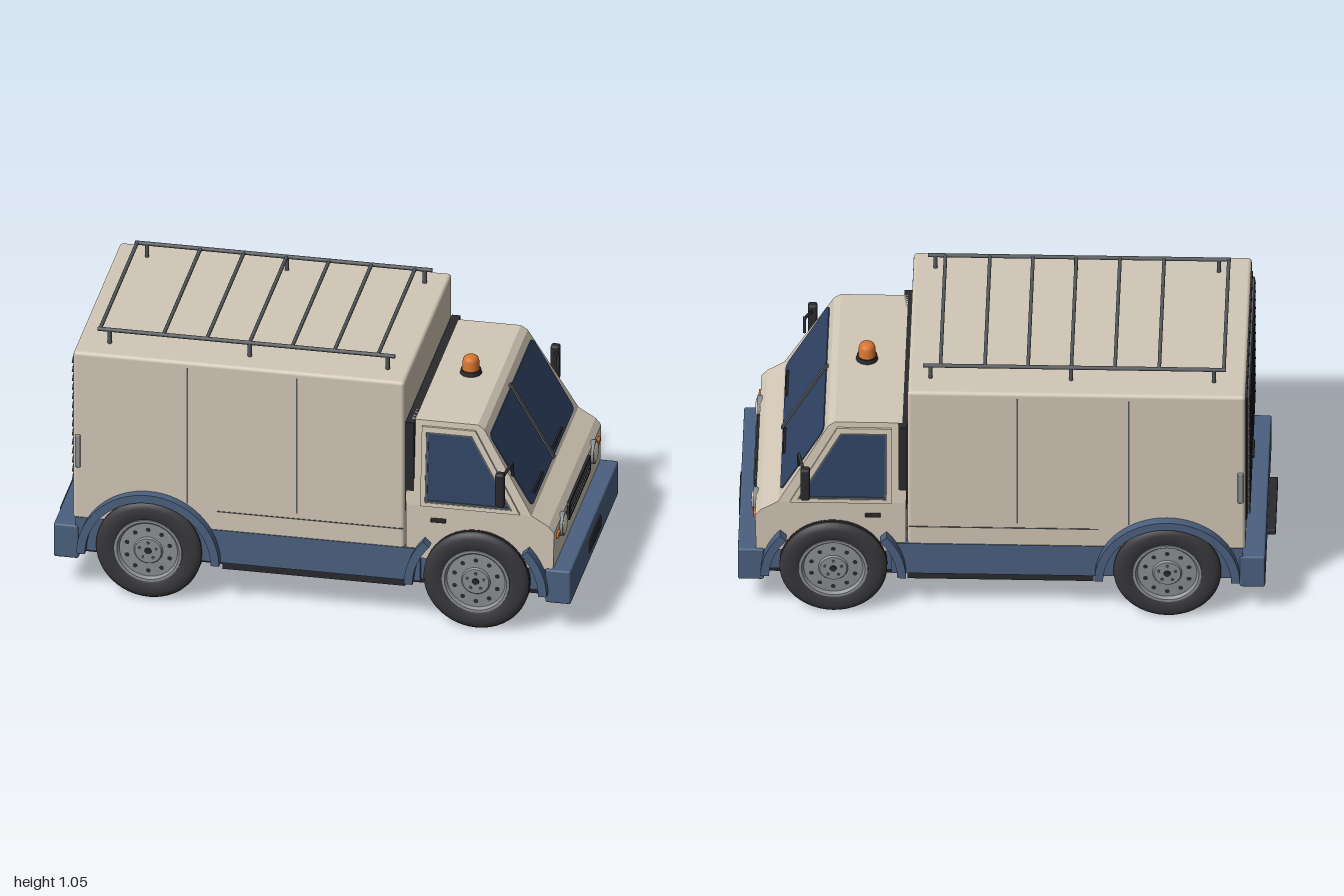
import * as THREE from 'three';
import { toCreasedNormals } from 'three/addons/utils/BufferGeometryUtils.js';
import { RoundedBoxGeometry } from 'three/addons/geometries/RoundedBoxGeometry.js';

const mat = (name, color) => Object.assign(new THREE.MeshStandardMaterial({ color }), { name });

export function createModel() {
  const beige = mat('beige paint', 0xd3c8b7), blue = mat('blue paint', 0x4b6180);
  const glass = mat('dark glass', 0x2f4363), tyre = mat('tyre rubber', 0x38373b);
  const steel = mat('wheel steel', 0x8b8f91), black = mat('black trim', 0x2a2a2e);
  const rackGrey = mat('dark grey metal', 0x54585c), orange = mat('orange lens', 0xd9752f);
  const lens = mat('lamp lens', 0xdcd6c8), under = mat('underbody', 0x232326);

  const model = new THREE.Group();
  model.name = 'van';
  const add = (name, geo, m, x = 0, y = 0, z = 0, parent = model) => {
    const mesh = new THREE.Mesh(geo, m);
    mesh.name = name;
    mesh.position.set(x, y, z);
    parent.add(mesh);
    return mesh;
  };
  const group = (name, x = 0, y = 0, z = 0) => {
    const g = new THREE.Group();
    g.name = name;
    g.position.set(x, y, z);
    model.add(g);
    return g;
  };
  // Box given by its limits on each axis
  const block = (name, m, [x0, x1], [y0, y1], [z0, z1], r = 0, parent = model) => {
    const s = [x1 - x0, y1 - y0, z1 - z0];
    const geo = r ? new RoundedBoxGeometry(...s, 2, r) : new THREE.BoxGeometry(...s);
    return add(name, geo, m, (x0 + x1) / 2, (y0 + y1) / 2, (z0 + z1) / 2, parent);
  };
  const poly = pts => new THREE.Shape(pts.map(p => new THREE.Vector2(...p)));
  const extrude = (shape, depth) =>
    new THREE.ExtrudeGeometry(shape, { depth, bevelEnabled: false, curveSegments: 16 }).translate(0, 0, -depth / 2);
  const roundRect = (w, h, r) => {
    const s = new THREE.Shape(), x = w / 2 - r, y = h / 2 - r;
    s.absarc(x, y, r, 0, Math.PI / 2);
    s.absarc(-x, y, r, Math.PI / 2, Math.PI);
    s.absarc(-x, -y, r, Math.PI, Math.PI * 1.5);
    s.absarc(x, -y, r, Math.PI * 1.5, Math.PI * 2);
    return s;
  };
  // Cylinder between two points
  const rod = (name, a, b, r, m, parent = model) => {
    const p = new THREE.Vector3(...a), q = new THREE.Vector3(...b), d = q.clone().sub(p);
    const mesh = add(name, new THREE.CylinderGeometry(r, r, d.length(), 10), m, 0, 0, 0, parent);
    mesh.position.copy(p).add(q).multiplyScalar(0.5);
    mesh.quaternion.setFromUnitVectors(new THREE.Vector3(0, 1, 0), d.normalize());
  };

  // Cargo body, sill, floor and chassis
  block('cargoBody', beige, [-0.895, 0.36], [0.29, 0.99], [-0.447, 0.447], 0.014);
  block('sill', blue, [-0.885, 0.42], [0.165, 0.3], [-0.449, 0.449]);
  block('frontSill', blue, [0.42, 0.9], [0.165, 0.27], [-0.43, 0.43]);
  block('floor', under, [-0.88, 0.9], [0.145, 0.17], [-0.42, 0.42]);
  for (const s of [-1, 1]) {
    block('chassisRail', under, [-0.87, 0.88], [0.135, 0.15], [s * 0.2 - 0.025, s * 0.2 + 0.025]);
    block('sideSkirt', black, [-0.33, 0.36], [0.135, 0.167], [s * 0.415 - 0.025, s * 0.415 + 0.025]);
    const z = [s * 0.447 - 0.002, s * 0.447 + 0.002];
    for (const x of [-0.462, -0.048]) block('panelSeam', rackGrey, [x - 0.003, x + 0.003], [0.4, 0.965], z);
    block('lowerSeam', rackGrey, [-0.35, 0.355], [0.375, 0.379], z);
    block('rearGrip', steel, [-0.887, -0.866], [0.51, 0.645], [s * 0.449 - 0.006, s * 0.449 + 0.006], 0.004);
  }

  // Rear roller shutter
  const shutter = group('rearShutter');
  block('shutterBack', black, [-0.9, -0.89], [0.4, 0.955], [-0.405, 0.405], 0, shutter);
  for (let i = 0; i < 14; i++) {
    const y = 0.432 + i * 0.038;
    const slat = block('shutterSlat', rackGrey, [-0.909, -0.897], [y - 0.014, y + 0.014], [-0.39, 0.39], 0, shutter);
    slat.rotation.z = -0.15;
  }
  block('shutterHandle', black, [-0.917, -0.9], [0.425, 0.443], [-0.05, 0.05], 0.004, shutter);

  // Cab: side profiles whose width narrows above the belt line
  const halfWidth = y => 0.443 - Math.max(0, y - 0.48) * 0.11;
  const cabPart = (name, pts) => {
    const geo = extrude(poly(pts), 1), p = geo.attributes.position;
    for (let i = 0; i < p.count; i++) p.setZ(i, Math.sign(p.getZ(i)) * halfWidth(p.getY(i)));
    geo.computeVertexNormals();
    add(name, geo, beige);
  };
  cabPart('cabLower', [[0.365, 0.26], [0.922, 0.26], [0.926, 0.415], [0.905, 0.44], [0.84, 0.48], [0.365, 0.48]]);
  cabPart('cabUpper', [[0.365, 0.48], [0.84, 0.48], [0.655, 0.803], [0.63, 0.82], [0.38, 0.82], [0.365, 0.81]]);
  block('cabGasket', black, [0.362, 0.394], [0.45, 0.82], [-0.437, 0.437]);

  // Thin plates that follow the leaning cab side
  const sidePlate = (name, shape, depth, m, s) => {
    const geo = extrude(shape, depth), p = geo.attributes.position;
    for (let i = 0; i < p.count; i++) p.setZ(i, p.getZ(i) + s * halfWidth(p.getY(i)));
    geo.computeVertexNormals();
    add(name, geo, m);
  };
  const windowPts = [[0.445, 0.505], [0.755, 0.505], [0.605, 0.77], [0.445, 0.77]];
  const gasketPts = [[0.437, 0.497], [0.769, 0.497], [0.61, 0.778], [0.437, 0.778]];
  const framePts = [[0.42, 0.482], [0.797, 0.482], [0.622, 0.798], [0.42, 0.798]];
  const withHole = (outer, inner) => {
    const s = poly(outer);
    s.holes.push(poly(inner));
    return s;
  };
  for (const s of [-1, 1]) {
    sidePlate('sideWindow', poly(windowPts), 0.006, glass, s);
    sidePlate('windowGasket', withHole(gasketPts, windowPts), 0.014, rackGrey, s);
    sidePlate('windowFrame', withHole(framePts, gasketPts), 0.018, beige, s);
    block('doorHandle', black, [0.46, 0.517], [0.419, 0.433], [s * 0.447 - 0.008, s * 0.447 + 0.008], 0.003);
    // Mirror on its arm
    rod('mirrorArm', [0.765, 0.69 - 0.06, s * 0.42], [0.765, 0.69, s * 0.437], 0.006, black);
    rod('mirrorArm', [0.765, 0.69, s * 0.43], [0.74, 0.66, s * 0.515], 0.006, black);
    block('mirror', black, [0.72, 0.755], [0.55, 0.69], [s * 0.522 - 0.017, s * 0.522 + 0.017], 0.009);
  }

  // Windscreen on the sloping front
  const screen = group('windscreen', 0.7475, 0.6415, 0);
  screen.rotation.set(0, Math.PI / 2, Math.atan2(0.185, 0.323), 'ZYX');
  add('windscreenGlass', extrude(roundRect(0.796, 0.322, 0.025), 0.008), glass, 0, -0.007, 0, screen);
  block('centrePillar', rackGrey, [-0.01, 0.01], [-0.17, 0.165], [-0.004, 0.011], 0, screen);
  for (const x of [-0.252, 0.112]) block('wiper', black, [x - 0.078, x + 0.078], [-0.15, -0.14], [0.004, 0.013], 0, screen);

  // Nose details
  const nose = group('nose', 0.926, 0, 0);
  nose.rotation.y = Math.PI / 2;
  add('grille', extrude(roundRect(0.405, 0.072, 0.01), 0.014), black, 0, 0.38, 0.002, nose);
  for (const y of [0.362, 0.38, 0.398]) block('grilleBar', rackGrey, [-0.175, 0.175], [y - 0.003, y + 0.003], [0.006, 0.013], 0, nose);
  for (const s of [-1, 1]) {
    const ring = add('headlampRing', new THREE.CylinderGeometry(0.046, 0.046, 0.02, 32), steel, s * 0.291, 0.379, 0, nose);
    const lamp = add('headlamp', new THREE.SphereGeometry(0.039, 28, 10, 0, Math.PI * 2, 0, Math.PI / 2), lens, s * 0.291, 0.379, 0.009, nose);
    lamp.scale.y = 0.25;
    ring.rotation.x = lamp.rotation.x = Math.PI / 2;
    block('indicator', orange, [s * 0.377 - 0.017, s * 0.377 + 0.017], [0.368, 0.391], [-0.008, 0.008], 0.004, nose);
  }

  // Bumpers, number plate panel and rear step
  block('frontBumper', blue, [0.893, 0.99], [0.127, 0.265], [-0.453, 0.453], 0.008);
  block('platePanel', black, [0.985, 0.995], [0.166, 0.22], [-0.105, 0.105], 0.004);
  block('rearBumper', blue, [-0.968, -0.873], [0.127, 0.265], [-0.453, 0.453], 0.008);
  block('rearStep', black, [-1, -0.96], [0.164, 0.186], [-0.17, 0.17], 0.004);

  // Wheel arches as arcs of a ring
  const arc = (a, b) => {
    const s = new THREE.Shape();
    s.absarc(0, 0, 0.27, a, b, false);
    s.absarc(0, 0, 0.238, b, a, true);
    return s;
  };
  const rearX = -0.605, frontX = 0.635;
  for (const s of [-1, 1]) {
    const z = s * 0.455;
    const arch = (name, x, a, b) => add(name, toCreasedNormals(extrude(arc(a, b), 0.056), 0.5), blue, x, 0.165, z);
    arch('rearArch', rearX, 0, Math.PI);
    arch('frontArchFore', frontX, 0, 0.75);
    arch('frontArchAft', frontX, Math.PI - 0.75, Math.PI);
  }

  // Wheels: grooved tyre, dished hub, holes and bolts
  const lathe = pts => toCreasedNormals(
    new THREE.LatheGeometry(pts.map(p => new THREE.Vector2(...p)), 48).rotateX(Math.PI / 2), 0.6);
  const tread = [];
  for (const g of [-0.018, 0, 0.018]) tread.push([0.2, g - 0.004], [0.194, g - 0.003], [0.194, g + 0.003], [0.2, g + 0.004]);
  const tyreGeo = lathe([[0, -0.04], [0.12, -0.04], [0.135, -0.047], [0.175, -0.047], [0.193, -0.04], [0.2, -0.03],
    ...tread, [0.2, 0.03], [0.193, 0.04], [0.175, 0.047], [0.135, 0.047], [0.124, 0.04]]);
  const hubGeo = lathe([[0.13, 0.036], [0.128, 0.047], [0.118, 0.047], [0.11, 0.036], [0.055, 0.038], [0.05, 0.045], [0, 0.045]]);
  for (const x of [rearX, frontX]) for (const s of [-1, 1]) {
    const wheel = group(x < 0 ? 'rearWheel' : 'frontWheel', x, 0.2, s * 0.431);
    if (s < 0) wheel.rotation.y = Math.PI;
    add('tyre', tyreGeo, tyre, 0, 0, 0, wheel);
    add('hub', hubGeo, steel, 0, 0, 0, wheel);
    for (let i = 0; i < 10; i++) {
      const a = i * Math.PI / 5 + Math.PI / 2;
      add('hubHole', new THREE.CircleGeometry(0.009, 12), black, 0.085 * Math.cos(a), 0.085 * Math.sin(a), 0.0385, wheel);
      if (i % 2) continue;
      const bolt = add('wheelBolt', new THREE.CylinderGeometry(0.006, 0.006, 0.006, 6), rackGrey,
        0.033 * Math.cos(a), 0.033 * Math.sin(a), 0.046, wheel);
      bolt.rotation.x = Math.PI / 2;
    }
    const cap = add('hubCap', new THREE.CylinderGeometry(0.012, 0.014, 0.006, 16), black, 0, 0, 0.046, wheel);
    cap.rotation.x = Math.PI / 2;
  }

  // Roof rack
  const rack = group('roofRack');
  for (const z of [-0.35, 0.35]) {
    rod('rackRail', [-0.82, 1.045, z], [0.305, 1.045, z], 0.008, rackGrey, rack);
    for (const x of [-0.775, -0.245, 0.277]) rod('rackPost', [x, 0.985, z], [x, 1.045, z], 0.008, rackGrey, rack);
  }
  for (const x of [-0.812, -0.572, -0.408, -0.246, -0.085, 0.075, 0.24])
    rod('rackBar', [x, 1.045, -0.35], [x, 1.045, 0.35], 0.007, rackGrey, rack);

  // Roof beacon
  add('beaconBase', new THREE.CylinderGeometry(0.038, 0.041, 0.018, 24), black, 0.522, 0.828, 0);
  const dome = [[0.033, 0], [0.031, 0.035], [0.027, 0.048], [0.017, 0.055], [0, 0.056]];
  add('beaconDome', new THREE.LatheGeometry(dome.map(p => new THREE.Vector2(...p)), 24), orange, 0.522, 0.836, 0);

  return model;
}
